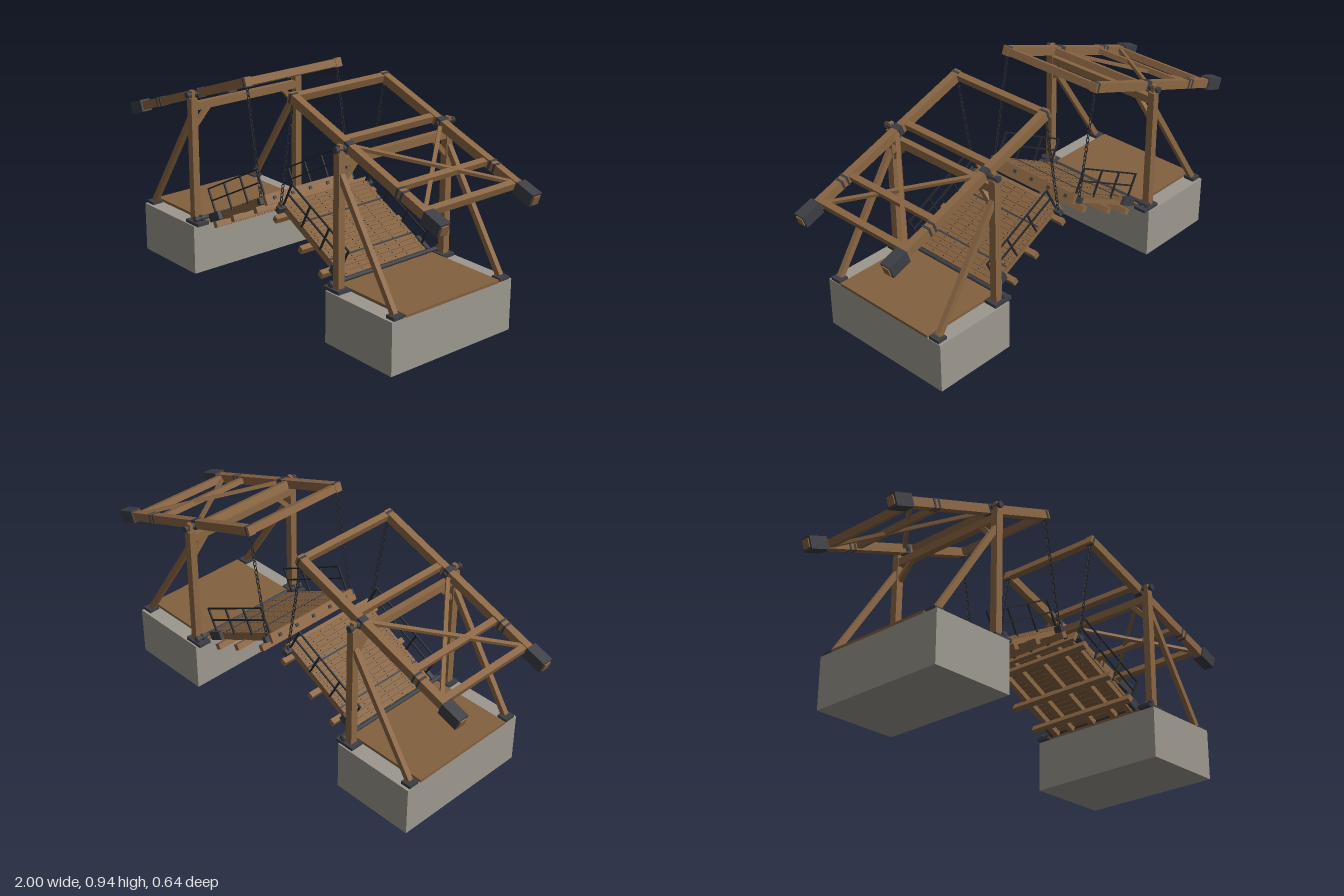
import * as THREE from 'three';
import { mergeGeometries } from 'three/addons/utils/BufferGeometryUtils.js';

const mat = (name, color) => {
  const m = new THREE.MeshStandardMaterial({ color });
  m.name = name;
  return m;
};

export function createModel() {
  const timber = mat('timber', 0x8a6643);
  const planking = mat('planking', 0x82603f);
  const stone = mat('stone', 0x9c988e);
  const iron = mat('iron', 0x3d3e44);
  const blackIron = mat('blackIron', 0x25272b);

  const add = (parent, name, geo, material) => {
    const m = new THREE.Mesh(geo, material);
    m.name = name;
    parent.add(m);
    return m;
  };
  const box = (parent, name, material, [w, h, d], [x, y, z]) => {
    const m = add(parent, name, new THREE.BoxGeometry(w, h, d), material);
    m.position.set(x, y, z);
    return m;
  };
  // Box stretched between two points: h is its height, w its width
  const beam = (parent, name, material, a, b, h, w) => {
    const p = new THREE.Vector3(...a), q = new THREE.Vector3(...b);
    const dir = q.clone().sub(p);
    const m = add(parent, name, new THREE.BoxGeometry(dir.length(), h, w), material);
    m.position.copy(p).add(q).multiplyScalar(0.5);
    const ux = dir.normalize();
    const ref = Math.abs(ux.y) > 0.95 ? new THREE.Vector3(1, 0, 0) : new THREE.Vector3(0, 1, 0);
    const uz = ux.clone().cross(ref).normalize();
    m.quaternion.setFromRotationMatrix(new THREE.Matrix4().makeBasis(ux, uz.clone().cross(ux), uz));
    return m;
  };
  // Round bar along z
  const bar = (parent, name, material, r, z0, z1, x, y) => {
    const m = add(parent, name, new THREE.CylinderGeometry(r, r, z1 - z0, 12).rotateX(Math.PI / 2), material);
    m.position.set(x, y, (z0 + z1) / 2);
    return m;
  };

  function buildTower(half) {
    const g = new THREE.Group();
    g.name = 'tower';
    half.add(g);
    box(g, 'abutment', stone, [0.38, 0.222, 0.64], [0.63, 0.111, 0]);
    box(g, 'roadway', planking, [0.38, 0.012, 0.5], [0.63, 0.228, 0]);
    for (const s of [-1, 1]) {
      const z = s * 0.283;
      box(g, 'postFoot', iron, [0.09, 0.014, 0.06], [0.465, 0.229, z]);
      box(g, 'braceFoot', iron, [0.045, 0.014, 0.05], [0.795, 0.229, z]);
      box(g, 'post', timber, [0.032, 0.555, 0.032], [0.476, 0.508, z]);
      beam(g, 'backBrace', timber, [0.79, 0.235, z], [0.485, 0.7, z], 0.024, 0.022);
      beam(g, 'kneeBrace', timber, [0.476, 0.665, s * 0.27], [0.476, 0.745, s * 0.195], 0.02, 0.02);
      // Pivot bearing on the post head
      box(g, 'bearingBlock', timber, [0.022, 0.036, 0.016], [0.478, 0.8, z]);
      bar(g, 'pivotPin', iron, 0.01, z - 0.068 * (s > 0 ? 1 : 0.35), z + 0.068 * (s > 0 ? 0.35 : 1), 0.48, 0.8);
      for (const d of [0.268, 0.305]) bar(g, 'pivotCollar', iron, 0.014, s * d - 0.005, s * d + 0.005, 0.48, 0.8);
    }
    box(g, 'portalBeam', timber, [0.028, 0.034, 0.54], [0.476, 0.748, 0]);
  }

  function buildBalance(half) {
    const g = new THREE.Group();
    g.name = 'balanceFrame';
    g.position.set(0.48, 0.8, 0);
    g.rotation.z = -0.342;
    half.add(g);
    for (const s of [-1, 1]) {
      const z = s * 0.24;
      box(g, 'balanceArm', timber, [0.91, 0.038, 0.032], [0.09, 0, z]);
      box(g, 'counterweight', iron, [0.09, 0.054, 0.05], [0.495, 0, z]);
      box(g, 'counterweightEnd', timber, [0.008, 0.034, 0.034], [0.541, 0, z]);
      for (const x of [-0.35, 0, 0.3, 0.325]) box(g, 'armBand', iron, [x ? 0.009 : 0.026, 0.042, 0.036], [x, 0, z]);
      // Crossed diagonals, one lying over the other
      beam(g, 'diagonal', timber, [0.02, s * 0.006, z * 0.92], [0.42, s * 0.006, -z * 0.92], 0.014, 0.016);
    }
    for (const [x, h, y] of [[-0.35, 0.032, 0], [-0.04, 0.03, 0], [0.275, 0.024, 0], [0.432, 0.03, 0]])
      box(g, 'crossBeam', timber, [0.026, h, 0.45], [x, y, 0]);
  }

  function buildLeaf(half) {
    const g = new THREE.Group();
    g.name = 'bridgeLeaf';
    g.position.set(0.45, 0.247, 0);
    g.rotation.z = -0.48;
    half.add(g);
    const stringers = [-0.205, -0.12, 0, 0.12, 0.205];

    // Planks and their nail heads
    const n = 18, pitch = 0.43 / n, nails = [];
    for (let i = 0; i < n; i++) {
      const x = -0.012 - (i + 0.5) * pitch;
      box(g, 'plank', planking, [pitch - 0.0012, 0.014, 0.445], [x, -0.007, 0]);
      for (const z of [...stringers, -0.06, 0.06])
        nails.push(new THREE.BoxGeometry(0.004, 0.002, 0.004).translate(x, 0.0005, z));
    }
    add(g, 'nailHeads', mergeGeometries(nails), blackIron);
    for (const x of [-0.11, -0.322]) box(g, 'deckStrap', iron, [0.007, 0.003, 0.44], [x, 0.001, 0]);

    // Supporting timbers below
    for (const z of stringers) box(g, 'stringer', timber, [0.43, 0.024, 0.026], [-0.225, -0.025, z]);
    for (const x of [-0.088, -0.228, -0.408]) box(g, 'bearer', timber, [0.024, 0.026, 0.54], [x, -0.048, 0]);
    box(g, 'endBeam', timber, [0.016, 0.044, 0.47], [-0.446, -0.02, 0]);
    for (const z of [-0.19, -0.095, 0, 0.095, 0.19]) box(g, 'endBolt', iron, [0.008, 0.014, 0.014], [-0.456, -0.02, z]);

    for (const s of [-1, 1]) {
      const z = s * 0.222;
      box(g, 'hingeStrap', iron, [0.075, 0.038, 0.018], [-0.045, -0.012, s * 0.229]);
      box(g, 'chainBracket', iron, [0.022, 0.026, 0.034], [-0.428, -0.018, s * 0.238]);
      // Railing
      for (const y of [0.058, 0.112]) box(g, 'rail', blackIron, [0.396, 0.006, 0.006], [-0.24, y, z]);
      for (let i = 0; i < 4; i++) box(g, 'railPost', blackIron, [0.007, 0.122, 0.007], [-0.045 - i * 0.13, 0.053, z]);
    }
    // Hinge axle
    bar(g, 'axle', iron, 0.009, -0.31, 0.31, 0, 0);
    for (const s of [-1, 1]) for (const z of [0.272, 0.302])
      bar(g, 'axleCollar', iron, 0.014, s * z - 0.005, s * z + 0.005, 0, 0);
  }

  function buildChains(half) {
    const top = new THREE.Vector3(0.147, 0.9, 0), bottom = new THREE.Vector3(0.062, 0.425, 0);
    const dir = top.clone().sub(bottom), count = 24;
    const tilt = -Math.atan2(dir.x, dir.y);
    const links = [];
    for (let i = 0; i < count; i++) {
      const p = bottom.clone().lerp(top, (i + 0.5) / count);
      const link = new THREE.TorusGeometry(0.0065, 0.0019, 5, 10).scale(1, 1.75, 1);
      if (i % 2) link.rotateY(Math.PI / 2);
      links.push(link.rotateZ(tilt).translate(p.x, p.y, 0));
    }
    const geo = mergeGeometries(links);
    for (const s of [-1, 1]) add(half, 'chain', geo, blackIron).position.z = s * 0.24;
  }

  const model = new THREE.Group();
  model.name = 'doubleDrawbridge';
  // Two identical halves facing each other
  for (const [name, turn] of [['leftHalf', 0], ['rightHalf', Math.PI]]) {
    const half = new THREE.Group();
    half.name = name;
    half.rotation.y = turn;
    buildTower(half);
    buildBalance(half);
    buildLeaf(half);
    buildChains(half);
    model.add(half);
  }
  return model;
}
